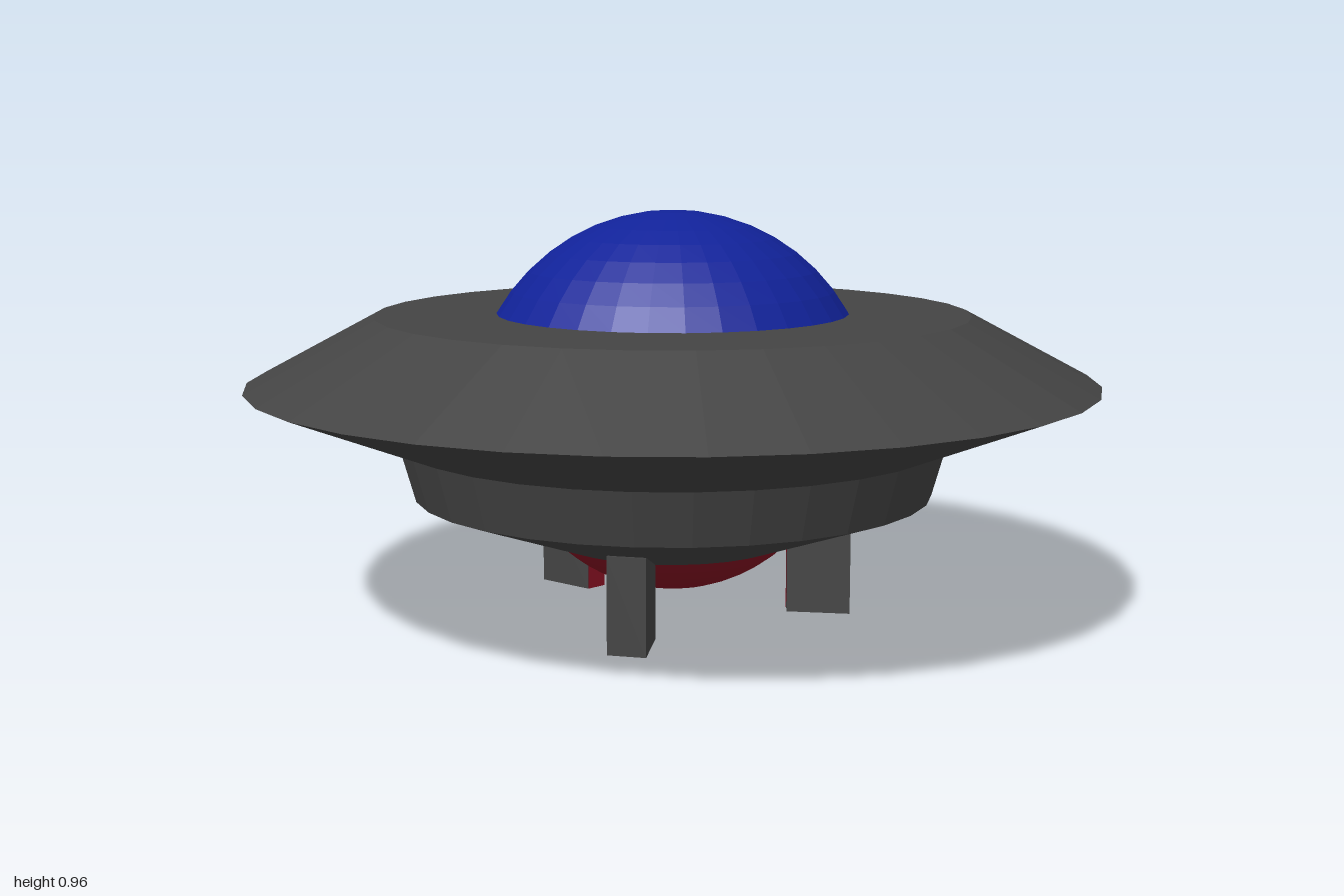
import * as THREE from 'three';

const SIDES = 32;
const material = (color) => new THREE.MeshStandardMaterial({ color, flatShading: true });

// Spherical cap given by its rim radius, rim height and tip height
function cap(name, rim, rimY, tipY, mat) {
  const h = Math.abs(tipY - rimY);
  const radius = (rim * rim + h * h) / (2 * h);
  const angle = Math.acos((radius - h) / radius);
  const up = tipY > rimY;
  const geometry = new THREE.SphereGeometry(
    radius, SIDES, 8, 0, Math.PI * 2, up ? 0 : Math.PI - angle, angle);
  const mesh = new THREE.Mesh(geometry, mat);
  mesh.name = name;
  mesh.position.y = up ? tipY - radius : tipY + radius;
  return mesh;
}

// Wedge-shaped leg along +x, wider outside, with a coloured inner face
function leg(name, degrees, metal, red) {
  const inner = 0.275, outer = 0.425, wIn = 0.0275, wOut = 0.045;
  const group = new THREE.Group();
  group.name = name;

  const shape = new THREE.Shape([
    new THREE.Vector2(inner, -wIn), new THREE.Vector2(outer, -wOut),
    new THREE.Vector2(outer, wOut), new THREE.Vector2(inner, wIn),
  ]);
  const body = new THREE.Mesh(
    new THREE.ExtrudeGeometry(shape, { depth: 0.225, bevelEnabled: false }).rotateX(-Math.PI / 2), metal);
  body.name = 'legBody';

  const face = new THREE.Mesh(new THREE.PlaneGeometry(wIn * 2, 0.2).rotateY(-Math.PI / 2), red);
  face.name = 'legInnerFace';
  face.position.set(inner - 0.001, 0.1, 0);

  group.add(body, face);
  group.rotation.y = -THREE.MathUtils.degToRad(degrees);
  return group;
}

export function createModel() {
  const model = new THREE.Group();
  model.name = 'flyingSaucer';
  const metal = material(0x444444);
  const blue = material(0x112299);
  const red = material(0x881122);

  // Saucer hull: lower bowl, collar, wide rim and flat deck
  const profile = [
    [0, 0.175], [0.28, 0.175], [0.615, 0.295], [0.65, 0.42], [1, 0.56], [0.7, 0.72], [0, 0.72],
  ].map(([r, y]) => new THREE.Vector2(r, y));
  const hull = new THREE.Mesh(new THREE.LatheGeometry(profile, SIDES), metal);
  hull.name = 'hull';
  model.add(hull);

  // Cockpit dome on top and engine glow below
  model.add(cap('dome', 0.415, 0.72, 0.96, blue));
  model.add(cap('engine', 0.28, 0.175, 0.06, red));

  // Three landing legs, angles measured from +x towards +z
  model.add(leg('frontLeftLeg', 39.5, metal, red));
  model.add(leg('frontRightLeg', 141.5, metal, red));
  model.add(leg('backLeg', -97, metal, red));

  return model;
}
